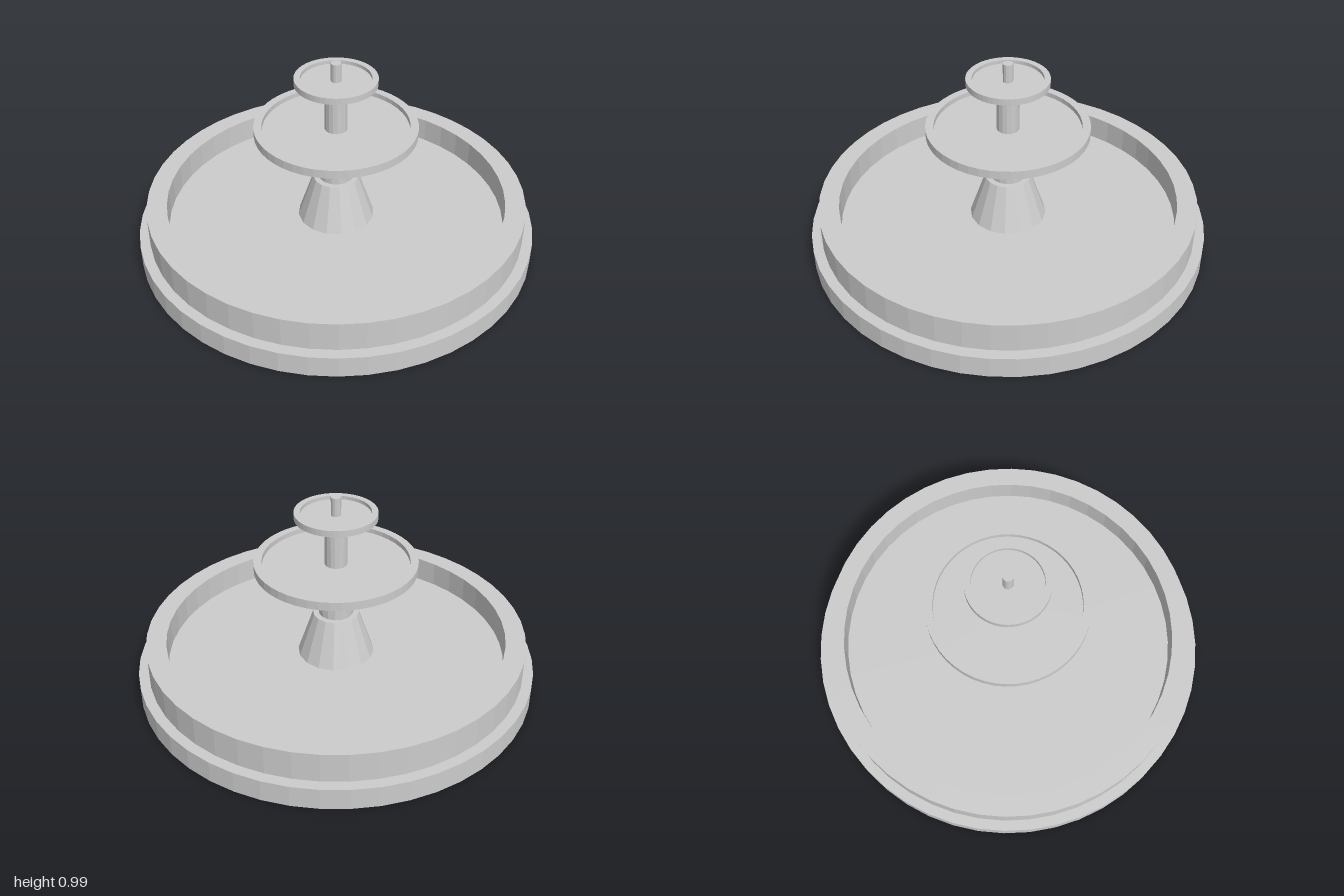
import * as THREE from 'three';

const material = new THREE.MeshStandardMaterial({ color: 0xcccccc, flatShading: true });

// Revolve a profile of [radius, height] pairs, listed from the underside, up the outside, to the inner floor.
function turned(name, profile, sides) {
  const points = profile.map(([r, y]) => new THREE.Vector2(r, y));
  const mesh = new THREE.Mesh(new THREE.LatheGeometry(points, sides), material);
  mesh.name = name;
  return mesh;
}

// Closed round post, straight or tapered.
function post(name, bottomRadius, topRadius, y0, y1, sides) {
  const geometry = new THREE.CylinderGeometry(topRadius, bottomRadius, y1 - y0, sides);
  geometry.translate(0, (y0 + y1) / 2, 0);
  const mesh = new THREE.Mesh(geometry, material);
  mesh.name = name;
  return mesh;
}

// Dish with a conical underside, an upright rim and a recessed floor.
function dish(name, d) {
  return turned(name, [
    [0, d.bottom], [d.footRadius, d.bottom], [d.innerRadius, d.rimBottom],
    [d.radius, d.rimBottom], [d.radius, d.rimTop],
    [d.innerRadius, d.rimTop], [d.innerRadius, d.floor], [0, d.floor],
  ], 48);
}

export function createModel() {
  const fountain = new THREE.Group();
  fountain.name = 'fountain';

  fountain.add(
    // Stepped pool: wide plinth, thick wall, sunken floor
    turned('pool', [
      [0, 0], [1, 0], [1, 0.11], [0.95, 0.11], [0.95, 0.26],
      [0.85, 0.26], [0.85, 0.13], [0, 0.13],
    ], 48),

    // Central stem and dishes, from the bottom up
    post('pedestal', 0.2, 0.115, 0.11, 0.36, 16),
    post('lowerColumn', 0.087, 0.087, 0.35, 0.54, 16),
    dish('lowerDish', {
      bottom: 0.53, footRadius: 0.12, rimBottom: 0.617, rimTop: 0.66,
      radius: 0.4, innerRadius: 0.36, floor: 0.635,
    }),
    post('upperColumn', 0.056, 0.056, 0.62, 0.82, 16),
    dish('upperDish', {
      bottom: 0.81, footRadius: 0.06, rimBottom: 0.883, rimTop: 0.915,
      radius: 0.2, innerRadius: 0.17, floor: 0.897,
    }),
    post('spout', 0.025, 0.025, 0.88, 0.99, 12),
  );

  return fountain;
}
